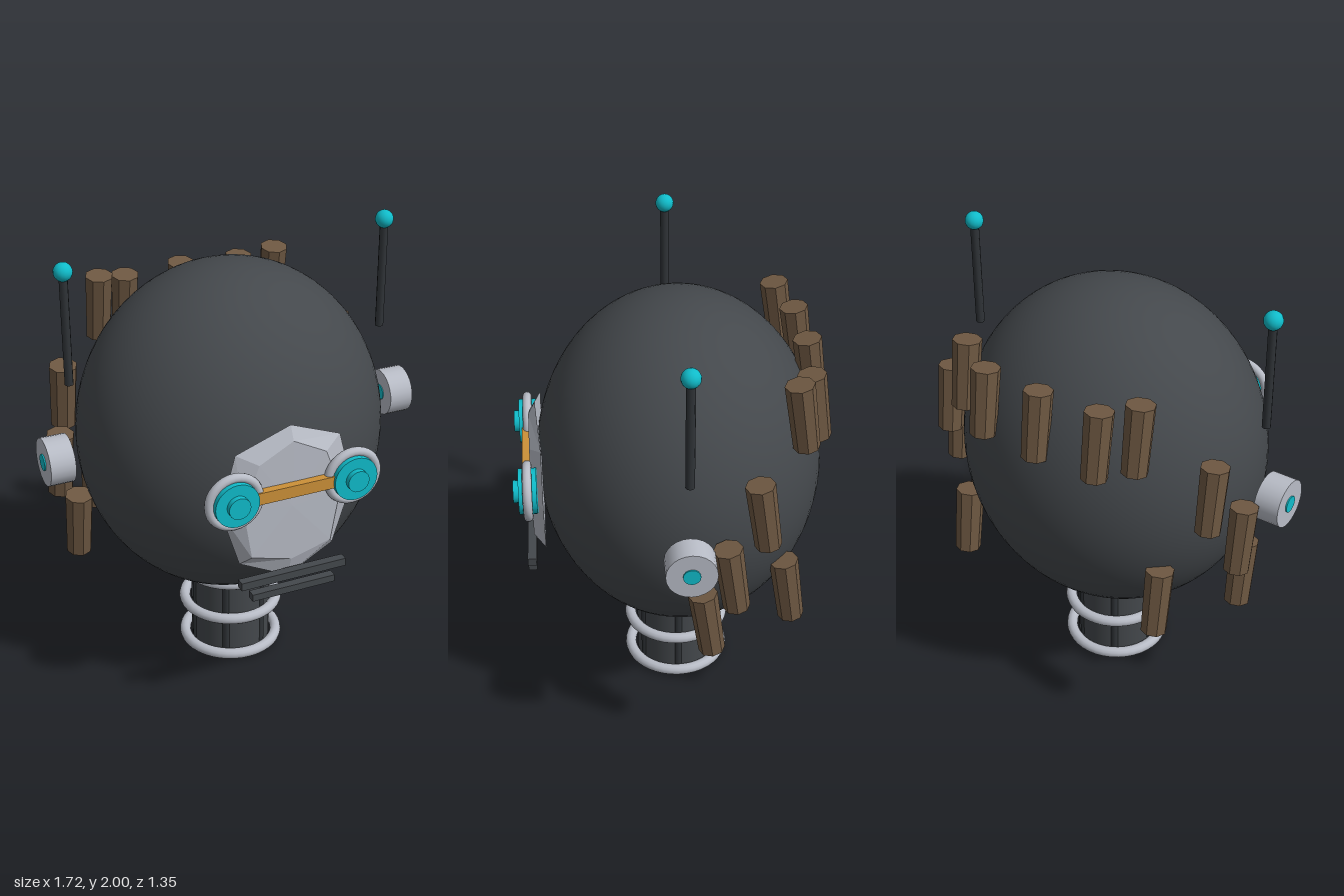
import * as THREE from 'three';

const mat = (name, color, flatShading = false) => {
  const m = new THREE.MeshStandardMaterial({ color, flatShading });
  m.name = name;
  return m;
};

export function createModel() {
  const dark = mat('charcoal', 0x44484c);
  const rodDark = mat('black metal', 0x303438);
  const silver = mat('silver', 0xb8bcc6);
  const silverFlat = mat('mask silver', 0xb8bcc6, true);
  const cyan = mat('cyan', 0x10bcca);
  const orange = mat('orange', 0xcc9038);
  const brown = mat('brown', 0x6e5842, true);

  const model = new THREE.Group();
  model.name = 'robotHead';
  const add = (name, geo, material, x, y, z, rx = 0, rz = 0) => {
    const m = new THREE.Mesh(geo, material);
    m.name = name;
    m.position.set(x, y, z);
    m.rotation.set(rx, 0, rz);
    model.add(m);
    return m;
  };
  const cyl = (r, h, n = 24, r2 = r) => new THREE.CylinderGeometry(r, r2, h, n);
  const Z = -0.035;

  // Head: tall, slightly shallow ellipsoid
  const head = add('head', new THREE.SphereGeometry(0.68, 64, 40), dark, 0, 1.12, -0.045);
  head.scale.set(1, 1.103, 0.905);

  // Neck with cables and rings
  add('neck', cyl(0.18, 0.41, 32), dark, 0, 0.22, Z);
  for (let i = 0; i < 6; i++) {
    const a = Math.PI / 6 + (i * Math.PI) / 3;
    add('neckCable', cyl(0.02, 0.38, 8), rodDark, 0.168 * Math.sin(a), 0.22, Z + 0.168 * Math.cos(a));
  }
  for (const y of [0.027, 0.222, 0.41])
    add('neckRing', new THREE.TorusGeometry(0.212, 0.025, 12, 40), silver, 0, y, Z, Math.PI / 2);

  // Face mask: faceted plate between a back rim and a raised front polygon
  const half = [[0.235, 1.31], [0.3, 1.06], [0.215, 0.79]];
  const halfIn = [[0.15, 1.27], [0.22, 1.08], [0.18, 0.84]];
  const ring = (top, side, bottom, zSide, zEnd) => [
    [0, top, zEnd],
    ...side.map(([x, y]) => [-x, y, zSide]),
    [0, bottom, zEnd],
    ...side.slice().reverse().map(([x, y]) => [x, y, zSide]),
  ];
  const rim = ring(1.41, half, 0.69, 0.548, 0.568);
  const front = ring(1.35, halfIn, 0.79, 0.598, 0.598);
  const n = rim.length;
  const pos = [];
  for (let i = 0; i < n; i++) {
    const j = (i + 1) % n;
    pos.push(...rim[i], ...rim[j], ...front[j], ...rim[i], ...front[j], ...front[i]);
    pos.push(...front[i], ...front[j], 0, 1.05, 0.602);
    pos.push(...rim[j], ...rim[i], 0, 1.05, 0.545);
  }
  const maskGeo = new THREE.BufferGeometry();
  maskGeo.setAttribute('position', new THREE.Float32BufferAttribute(pos, 3));
  maskGeo.computeVertexNormals();
  add('faceMask', maskGeo, silverFlat, 0, 0, 0);

  // Goggle bridge and mouth bars
  add('goggleBridge', new THREE.BoxGeometry(0.38, 0.054, 0.035), orange, 0, 1.137, 0.617);
  add('upperMouthBar', new THREE.BoxGeometry(0.48, 0.036, 0.038), dark, 0, 0.73, 0.612);
  add('lowerMouthBar', new THREE.BoxGeometry(0.38, 0.032, 0.038), dark, 0, 0.662, 0.612);

  // Hair locks: x, y, z of each centre
  const locks = [[0.42, 1.566, -0.515], [0.275, 1.52, -0.585], [0.66, 1.258, -0.34],
    [0.73, 1.0, -0.21], [0.69, 0.74, -0.115], [0.495, 0.74, -0.475]];
  const lockGeo = cyl(0.062, 0.302, 8, 0.056);
  add('hairLock', lockGeo, brown, 0, 1.525, -0.605, 0.14);

  for (const s of [1, -1]) {
    // Goggles
    add('goggleRim', new THREE.TorusGeometry(0.11, 0.02, 12, 32), silver, s * 0.266, 1.137, 0.61);
    add('goggleLens', cyl(0.097, 0.077, 32), cyan, s * 0.266, 1.137, 0.609, Math.PI / 2);
    add('pupil', cyl(0.048, 0.04, 20), cyan, s * 0.266, 1.137, 0.651, Math.PI / 2);

    // Ear discs
    add('ear', cyl(0.105, 0.11), silver, s * 0.801, 1.12, Z, 0, Math.PI / 2);
    add('earLight', cyl(0.036, 0.12, 16), cyan, s * 0.802, 1.12, Z, 0, Math.PI / 2);

    // Antennas
    add('antenna', cyl(0.019, 0.48, 8), rodDark, s * 0.725, 1.7, Z);
    add('antennaTip', new THREE.SphereGeometry(0.04, 16, 12), cyan, s * 0.725, 1.96, Z);

    for (const [x, y, z] of locks) add('hairLock', lockGeo, brown, s * x, y, z, 0.14);
  }
  return model;
}
